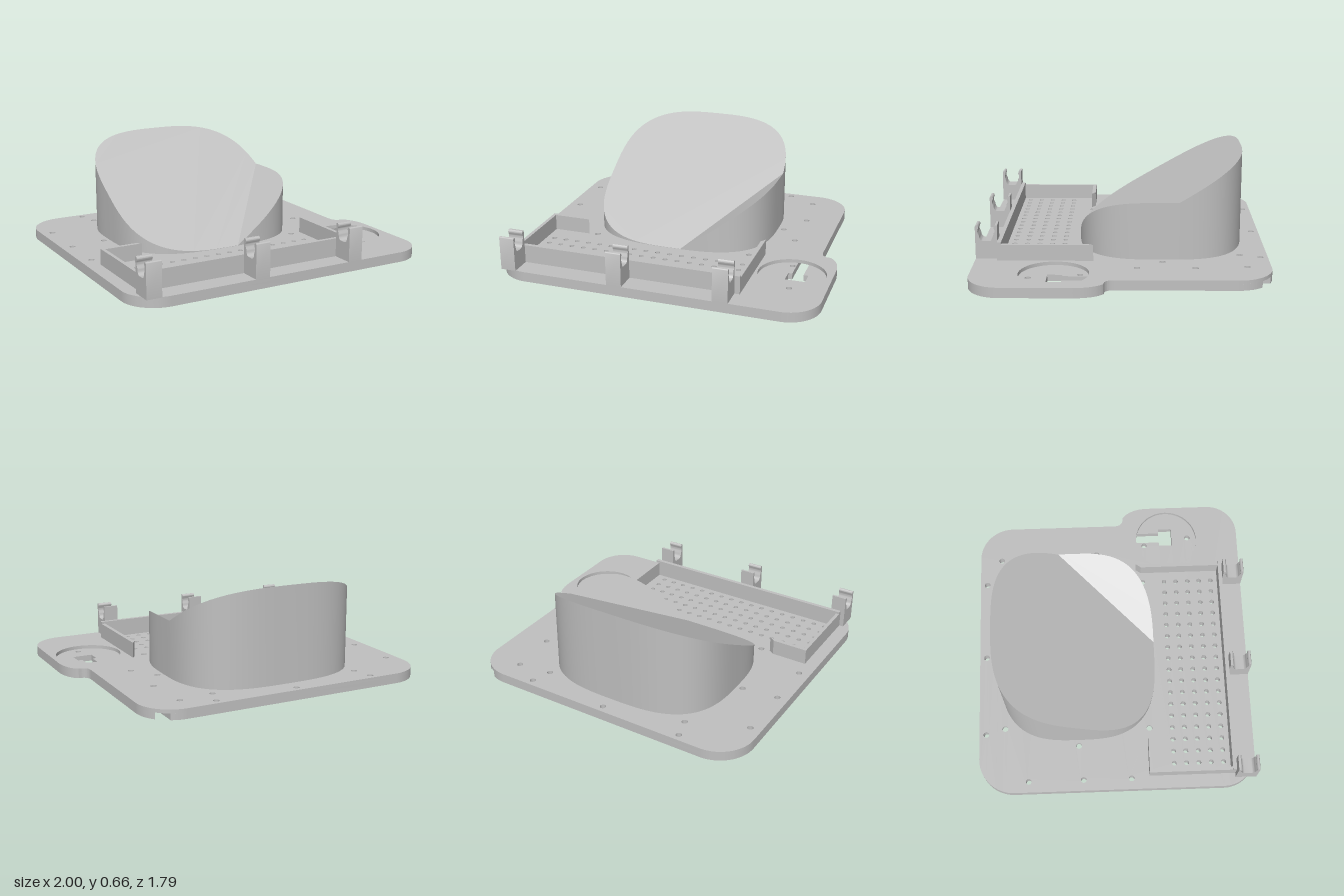
import * as THREE from 'three';
import { toCreasedNormals } from 'three/addons/utils/BufferGeometryUtils.js';

const BASE = 0.062, FLOOR = 0.04;
const grey = new THREE.MeshStandardMaterial({ color: 0xc0c0c0 });
grey.name = 'light grey';

function part(name, geometry) {
  const mesh = new THREE.Mesh(geometry, grey);
  mesh.name = name;
  return mesh;
}

// Upright slab from a plan shape drawn in (x, -z)
function slab(shape, y0, y1) {
  const g = new THREE.ExtrudeGeometry(shape, { depth: y1 - y0, bevelEnabled: false, curveSegments: 16 });
  g.rotateX(-Math.PI / 2).translate(0, y0, 0);
  return toCreasedNormals(g, 0.5);
}

const plan = (points) => new THREE.Shape(points.map(([x, z]) => new THREE.Vector2(x, -z)));

// Circular hole, polygonised to keep the triangle count low
function drill(shape, x, z, r, n = 14) {
  const pts = [];
  for (let i = 0; i < n; i++) {
    const a = (i / n) * Math.PI * 2;
    pts.push(new THREE.Vector2(x + r * Math.cos(a), -z + r * Math.sin(a)));
  }
  shape.holes.push(new THREE.Path(pts));
}

// Plate outline; the lower layer also has the cable channel and its keyhole
function plateShape(channel) {
  const s = new THREE.Shape();
  const q = Math.PI / 2;
  s.moveTo(-0.79, -0.895);
  s.lineTo(0.8, -0.895);
  s.absarc(0.8, -0.695, 0.2, -q, 0, false);
  s.lineTo(1, -0.28);
  s.bezierCurveTo(1, -0.19, 0.97, -0.13, 0.93, -0.1);
  s.lineTo(0.91, -0.1);
  s.quadraticCurveTo(0.87, -0.09, 0.87, -0.04);
  s.lineTo(0.87, 0.675);
  if (channel) {
    s.absarc(0.65, 0.675, 0.22, 0, Math.acos(0.165 / 0.22), false);
    [[0.815, -0.35], [0.845, -0.35], [0.845, -0.44], [0.72, -0.44], [0.72, -0.35], [0.745, -0.35]]
      .forEach(([x, y]) => s.lineTo(x, y));
    s.absarc(0.65, 0.675, 0.22, Math.acos(0.095 / 0.22), q, false);
  } else {
    s.absarc(0.65, 0.675, 0.22, 0, q, false);
  }
  s.lineTo(-0.77, 0.895);
  s.absarc(-0.77, 0.665, 0.23, q, 2 * q, false);
  s.lineTo(-1, -0.685);
  s.absarc(-0.79, -0.685, 0.21, 2 * q, 3 * q, false);
  return s;
}

function buildPlate() {
  const lower = plateShape(true), upper = plateShape(false);
  // Edge screw holes
  const edgeHoles = [[-0.61, -0.85], [-0.08, -0.85], [0.45, -0.85], [0.63, -0.75], [-0.93, -0.575],
    [0.655, -0.44], [-0.93, -0.22], [0.655, -0.09], [-0.93, 0.09]];
  for (const [x, z] of edgeHoles) for (const s of [lower, upper]) drill(s, x, z, 0.019);
  // Holes around the wedge, wider underneath
  const mountHoles = [[-0.575, -0.725], [0.41, -0.725], [-0.705, -0.245], [0.545, -0.245], [-0.6, 0.22], [0.435, 0.22]];
  for (const [x, z] of mountHoles) {
    drill(lower, x, z, 0.03);
    drill(upper, x, z, 0.019);
  }
  // Blind holes under the wedge
  for (const [x, z] of [[0.155, -0.175], [0.175, -0.555], [-0.31, -0.23]]) drill(lower, x, z, 0.03);
  // Perforated tray floor
  for (let i = 0; i < 17; i++) {
    for (let j = 0; j < 5; j++) {
      for (const s of [lower, upper]) drill(s, -0.84 + i * 0.0796, 0.37 + j * 0.08, 0.016, 10);
    }
  }
  // Round recess and its two pin holes
  drill(upper, 0.755, 0.4, 0.21, 48);
  drill(lower, 0.722, 0.245, 0.018);
  drill(lower, 0.773, 0.55, 0.019);

  const plate = new THREE.Group();
  plate.name = 'basePlate';
  plate.add(part('lowerPlate', slab(lower, 0, FLOOR)), part('upperPlate', slab(upper, FLOOR, BASE)));
  return plate;
}

// Rounded block cut by two sloping planes
function buildWedge() {
  const front = (x, z) => BASE + 0.577 * (0.278 - z);
  const side = (x) => BASE + 0.7 * (x + 0.008);
  const diff = (p) => front(p[0], p[1]) - side(p[0]);
  const bend = (v) => Math.sign(v) * Math.pow(Math.abs(v), 2 / 3);
  const raw = [], outline = [], n = 120;
  for (let i = 0; i < n; i++) {
    const t = (i / n) * Math.PI * 2;
    raw.push([-0.08 + 0.585 * bend(Math.cos(t)), -0.2425 + 0.518 * bend(Math.sin(t))]);
  }
  // Add the two outline points where the planes meet
  raw.forEach((p, i) => {
    outline.push(p);
    const q = raw[(i + 1) % n], a = diff(p), b = diff(q);
    if (a * b < 0) {
      const k = a / (a - b);
      outline.push([p[0] + (q[0] - p[0]) * k, p[1] + (q[1] - p[1]) * k]);
    }
  });

  const pos = [], index = [], m = outline.length;
  outline.forEach(([x, z], i) => {
    pos.push(x, BASE - 0.01, z, x, Math.max(front(x, z), side(x), BASE), z);
    const a = 2 * i, b = 2 * ((i + 1) % m);
    index.push(a, a + 1, b + 1, a, b + 1, b);
  });
  const wall = new THREE.BufferGeometry();
  wall.setAttribute('position', new THREE.Float32BufferAttribute(pos, 3));
  wall.setIndex(index);
  wall.computeVertexNormals();

  const top = (points, height) => {
    const g = new THREE.ShapeGeometry(plan(points)).rotateX(-Math.PI / 2);
    const p = g.attributes.position;
    for (let i = 0; i < p.count; i++) p.setY(i, height(p.getX(i), p.getZ(i)));
    g.computeVertexNormals();
    return g;
  };
  const wedge = new THREE.Group();
  wedge.name = 'wedgeBlock';
  wedge.add(part('wedgeWall', wall),
    part('frontSlope', top(outline.filter((p) => diff(p) > -1e-6), front)),
    part('sideSlope', top(outline.filter((p) => diff(p) < 1e-6), side)));
  return wedge;
}

function buildTray() {
  const tray = new THREE.Group();
  tray.name = 'tray';
  const left = [[-0.917, 0.205], [-0.69, 0.205], [-0.655, 0.23], [-0.895, 0.23], [-0.895, 0.735], [-0.917, 0.735]];
  const right = [[0.53, 0.175], [0.53, 0.735], [0.505, 0.735], [0.505, 0.21]];
  const front = [[-0.917, 0.735], [0.53, 0.735], [0.53, 0.76], [-0.917, 0.76]];
  tray.add(part('cornerWall', slab(plan(left), BASE, 0.162)),
    part('endWall', slab(plan(right), BASE, 0.162)),
    part('frontWall', slab(plan(front), BASE, 0.176)));
  return tray;
}

// Two-armed spring clip, profile in (z, y)
function clipGeometry(width) {
  const s = new THREE.Shape();
  s.moveTo(0.76, BASE);
  s.lineTo(0.895, BASE);
  s.lineTo(0.895, 0.265);
  s.quadraticCurveTo(0.893, 0.277, 0.882, 0.275);
  s.quadraticCurveTo(0.868, 0.265, 0.877, 0.25);
  s.quadraticCurveTo(0.885, 0.235, 0.872, 0.212);
  s.quadraticCurveTo(0.868, 0.178, 0.85, 0.175);
  s.lineTo(0.805, 0.175);
  s.quadraticCurveTo(0.787, 0.178, 0.785, 0.212);
  s.quadraticCurveTo(0.77, 0.235, 0.778, 0.25);
  s.quadraticCurveTo(0.787, 0.265, 0.774, 0.275);
  s.lineTo(0.76, 0.275);
  const g = new THREE.ExtrudeGeometry(s, { depth: width, bevelEnabled: false, curveSegments: 6 });
  g.rotateY(-Math.PI / 2).translate(width / 2, 0, 0);
  return toCreasedNormals(g, 0.5);
}

export function createModel() {
  const model = new THREE.Group();
  model.name = 'mountingPlate';
  model.add(buildPlate(), buildWedge(), buildTray());
  const clip = clipGeometry(0.095);
  for (const x of [-0.897, -0.205, 0.45]) {
    const mesh = part('clip', clip);
    mesh.position.x = x;
    model.add(mesh);
  }
  return model;
}
